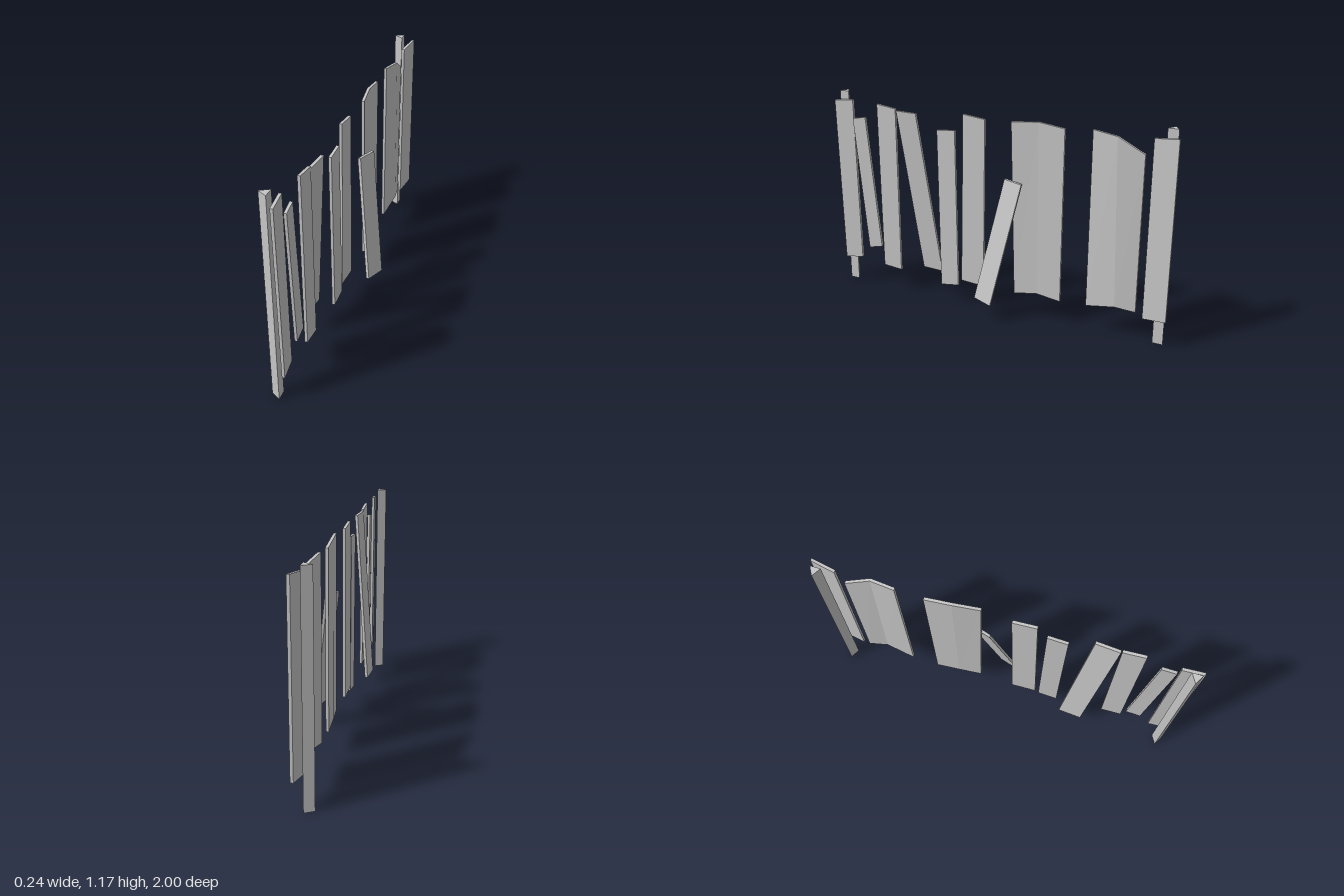
import * as THREE from 'three';

const wood = new THREE.MeshStandardMaterial({ color: 0xc6c6c6 });
wood.name = 'pale grey wood';

// Loft a board through columns [zTop, yTop, xTop, zBottom, yBottom, xBottom], ordered from +z to -z.
// x is the outer (+x) face; the thickness goes towards -x.
function boardGeometry(columns, thickness) {
  const pos = [], index = [], last = (columns.length - 1) * 4;
  for (const [zt, yt, xt, zb, yb, xb] of columns) {
    pos.push(xb, yb, zb, xt, yt, zt, xt - thickness, yt, zt, xb - thickness, yb, zb);
  }
  for (let i = 0; i < last; i += 4) {
    for (let k = 0; k < 4; k++) {
      const a = i + k, b = i + (k + 1) % 4;
      index.push(a, a + 4, b + 4, a, b + 4, b);
    }
  }
  index.push(0, 1, 2, 0, 2, 3, last, last + 2, last + 1, last, last + 3, last + 2);
  const g = new THREE.BufferGeometry();
  g.setAttribute('position', new THREE.Float32BufferAttribute(pos, 3));
  g.setIndex(index);
  const flat = g.toNonIndexed();
  flat.computeVertexNormals();
  return flat;
}

export function createModel() {
  const group = new THREE.Group();
  group.name = 'brokenFence';
  const add = (name, geometry) => {
    const mesh = new THREE.Mesh(geometry, wood);
    mesh.name = name;
    group.add(mesh);
    return mesh;
  };

  // Three-sided posts behind the boards
  const post = new THREE.CylinderGeometry(0.033, 0.033, 1.17, 3, 1, false, -Math.PI / 2).toNonIndexed();
  post.computeVertexNormals();
  for (const [name, z] of [['frontPost', 0.957], ['backPost', -0.952]]) {
    add(name, post).position.set(-0.077, 0.585, z);
  }

  // Upright boards
  const boards = {
    frontEndBoard: [[1.0, 1.12, -0.023, 0.985, 0.15, -0.023], [0.885, 1.13, -0.033, 0.875, 0.165, -0.033]],
    shortCrookedBoard: [[0.88, 1.025, -0.018, 0.815, 0.24, -0.027], [0.8, 1.04, -0.023, 0.73, 0.26, -0.03]],
    straightBoard: [[0.715, 1.125, -0.02, 0.71, 0.15, -0.02], [0.595, 1.11, -0.02, 0.595, 0.14, -0.02]],
    lowBoard: [[0.335, 1.02, -0.022, 0.325, 0.1, -0.022], [0.225, 1.03, -0.022, 0.215, 0.115, -0.022]],
    middleBoard: [[0.175, 1.125, -0.026, 0.195, 0.15, -0.026], [0.045, 1.11, -0.026, 0.055, 0.14, -0.026]],
    wideBoard: [
      [-0.115, 1.12, -0.012, -0.14, 0.145, -0.016],
      [-0.26, 1.13, -0.031, -0.27, 0.16, -0.031],
      [-0.405, 1.11, -0.034, -0.405, 0.14, -0.034]],
    wideBentBoard: [
      [-0.555, 1.125, -0.034, -0.555, 0.15, -0.034],
      [-0.69, 1.11, -0.015, -0.72, 0.185, -0.015],
      [-0.83, 1.03, -0.033, -0.83, 0.17, -0.033]],
    backEndBoard: [[-0.87, 1.12, -0.027, -0.87, 0.145, -0.027], [-1.0, 1.135, -0.005, -1.0, 0.16, -0.005]],
  };
  for (const [name, columns] of Object.entries(boards)) add(name, boardGeometry(columns, 0.016));

  // Loose boards, one fallen to each side
  add('boardLeaningInward', boardGeometry(
    [[0.59, 1.1, -0.02, 0.49, 0.145, -0.107], [0.46, 1.1, -0.01, 0.36, 0.145, -0.097]], 0.016));
  add('boardLeaningOutward', boardGeometry(
    [[-0.075, 0.8, -0.018, 0.06, 0.115, 0.081], [-0.19, 0.795, 0.02, -0.055, 0.105, 0.12]], 0.016));

  return group;
}
